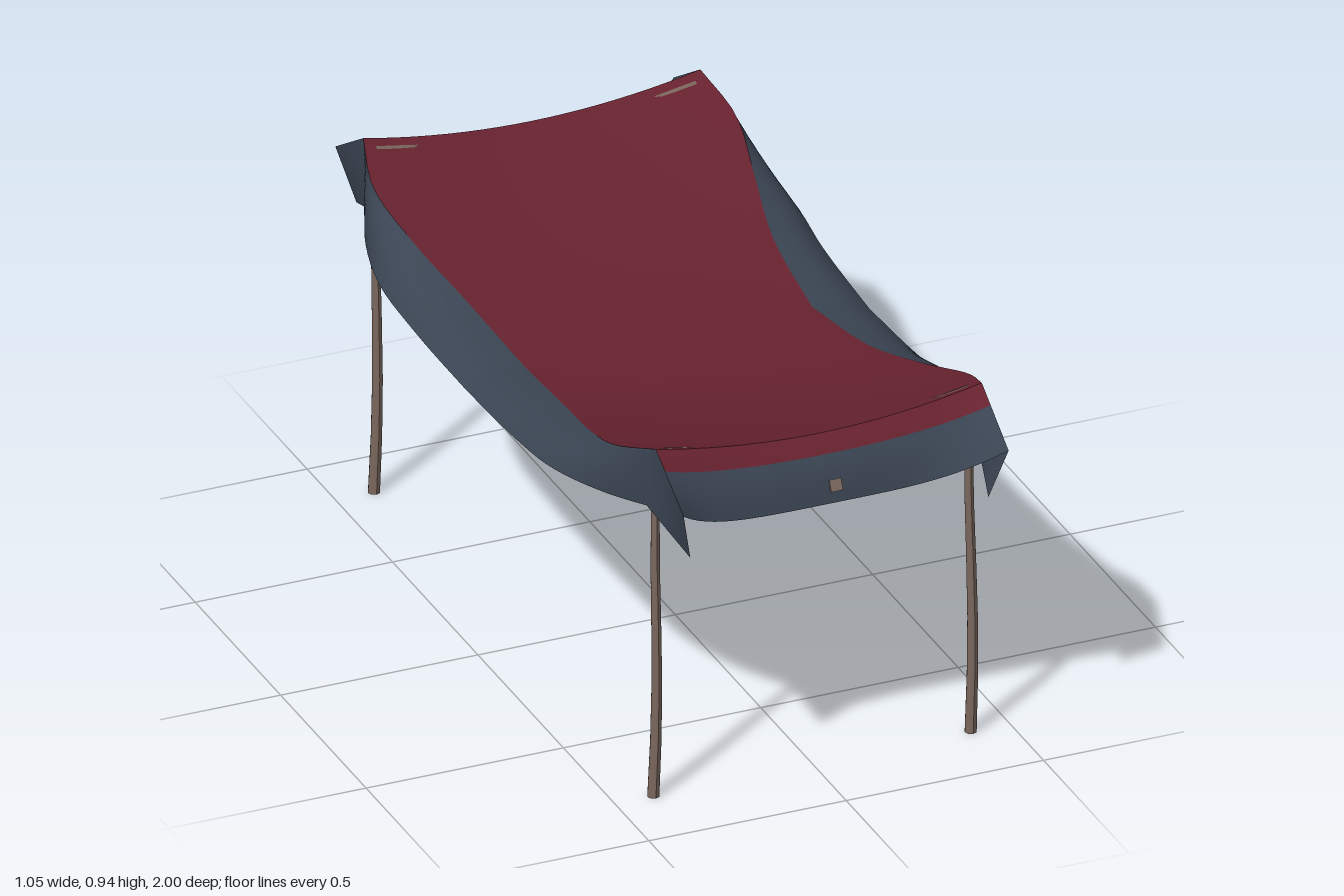
import * as THREE from 'three';

const END = 0.84; // z of the end ridges
const red = new THREE.MeshStandardMaterial({ color: 0x67222f, side: THREE.DoubleSide });
red.name = 'red cloth';
const blue = new THREE.MeshStandardMaterial({ color: 0x3a4452, side: THREE.DoubleSide });
blue.name = 'slate border';
const wood = new THREE.MeshStandardMaterial({ color: 0x7a675d });
wood.name = 'wood';

// Smooth curve through values given at these distances from the middle
const STATIONS = [0, 0.3, 0.5, 0.7, END];
const curve = (values) => {
  const c = new THREE.CubicInterpolant(STATIONS, values, 1, [0]);
  return (z) => c.evaluate(Math.min(Math.abs(z), END))[0];
};
const seamX = curve([0.365, 0.388, 0.425, 0.452, 0.42]);
const seamY = curve([0.737, 0.774, 0.822, 0.885, 0.935]);
const tipX = curve([0.51, 0.515, 0.518, 0.478, 0.425]);
const tipY = curve([0.702, 0.716, 0.74, 0.76, 0.77]);

// Slight skew of the whole canopy
const skew = (x, y, z) => {
  const t = Math.min(Math.abs(z) / END, 1);
  return new THREE.Vector3(x * (1 - 0.02 * z) - 0.018 * (1 - t * t), y, z);
};

// Height of the sagging cloth; u runs -1..1 across
const clothY = (u, z) => seamY(z) - 0.045 * Math.abs(z / END) * (1 - u * u);

// Grid surface from a rule f(a, b), both 0..1
function sheet(name, material, nu, nv, f) {
  const pos = [], index = [];
  for (let j = 0; j <= nv; j++)
    for (let i = 0; i <= nu; i++) pos.push(...f(i / nu, j / nv).toArray());
  for (let j = 0; j < nv; j++)
    for (let i = 0; i < nu; i++) {
      const a = j * (nu + 1) + i, b = a + nu + 1;
      index.push(a, b, a + 1, a + 1, b, b + 1);
    }
  const g = new THREE.BufferGeometry();
  g.setAttribute('position', new THREE.Float32BufferAttribute(pos, 3));
  g.setIndex(index);
  g.computeVertexNormals();
  const m = new THREE.Mesh(g, material);
  m.name = name;
  return m;
}

function pole(name, points, radius, segments) {
  const path = new THREE.CatmullRomCurve3(points);
  const m = new THREE.Mesh(new THREE.TubeGeometry(path, segments, radius, 8), wood);
  m.name = name;
  return m;
}

// End flap: u across -1..1, v from ridge down to hem, e = front (1) or back (-1)
function endPoint(u, v, e) {
  const k = u ** 4;
  const bulge = 0.012 * Math.sin(Math.PI * v) * (1 - u * u);
  const y = THREE.MathUtils.lerp(0.89 + 0.045 * u * u, 0.745 + 0.09 * k, v) + bulge;
  const z = THREE.MathUtils.lerp(END, 0.92 + 0.08 * k, v) + bulge;
  return skew(u * 0.42, y, e * z);
}

// Side flap: s from seam out to hem
function sidePoint(z, s, side) {
  const t4 = (z / END) ** 4;
  const bulge = 0.012 * Math.sin(Math.PI * s) * (1 - t4);
  const x = THREE.MathUtils.lerp(seamX(z), tipX(z), s) + bulge;
  const y = THREE.MathUtils.lerp(seamY(z), tipY(z), s) + bulge;
  return skew(side * x, y, z * (1 - 0.045 * t4 * s));
}

export function createModel() {
  const model = new THREE.Group();

  // Main cloth
  model.add(sheet('canopyCloth', red, 20, 40, (a, b) => {
    const u = a * 2 - 1, z = (b * 2 - 1) * END;
    return skew(u * seamX(z), clothY(u, z), z);
  }));

  for (const e of [1, -1]) {
    const end = e > 0 ? 'front' : 'back';
    // End flap: red band, then border
    model.add(sheet(end + 'RidgeBand', red, 32, 4, (a, b) => endPoint(a * 2 - 1, b * 0.33, e)));
    model.add(sheet(end + 'Flap', blue, 32, 8, (a, b) => endPoint(a * 2 - 1, 0.33 + b * 0.67, e)));

    // End rail under the ridge
    const rail = [-1, -0.5, 0, 0.5, 1].map((u) => skew(u * 0.4, clothY(u, 0.82) - 0.016, e * 0.815));
    model.add(pole(end + 'Rail', rail, 0.01, 16));

    // Small toggle at the middle of the flap
    const toggle = new THREE.Mesh(new THREE.BoxGeometry(0.03, 0.028, 0.008), wood);
    toggle.name = end + 'Toggle';
    toggle.position.set(0.012, 0.785, e * 0.911);
    toggle.rotation.x = -e * 0.45;
    model.add(toggle);
  }

  for (const side of [1, -1]) {
    const name = side > 0 ? 'left' : 'right';
    model.add(sheet(name + 'Flap', blue, 8, 40, (a, b) => sidePoint((b * 2 - 1) * END, a, side)));

    // Side rail following the sag
    const rail = [];
    for (let i = -4; i <= 4; i++) {
      const z = i / 4 * 0.81, x = 0.325 + 0.07 * Math.abs(i / 4) ** 1.5;
      rail.push(skew(side * x, clothY(x / seamX(z), z) - 0.02, z));
    }
    model.add(pole(name + 'Rail', rail, 0.01, 32));

    for (const e of [1, -1]) {
      const corner = name + (e > 0 ? 'Front' : 'Back');
      // Drooping corner fold between end flap and side flap
      const R = endPoint(side, 0, e), F = endPoint(side, 1, e);
      const S = sidePoint(e * END, 1, side), K = skew(side * 0.385, 0.7, e * 0.96);
      model.add(sheet(corner + 'CornerFold', blue, 6, 6, (v, s) => new THREE.Vector3()
        .addScaledVector(R, (1 - v) * (1 - s)).addScaledVector(F, v * (1 - s))
        .addScaledVector(S, (1 - v) * s).addScaledVector(K, v * s)));

      // Slightly crooked tapered post
      const z = e > 0 ? 0.8 : -0.835;
      const lean = side > 0 ? 0 : 0.012;
      const g = new THREE.CylinderGeometry(0.01, 0.015, 0.9, 8, 6);
      const p = g.attributes.position;
      for (let i = 0; i < p.count; i++) {
        const h = p.getY(i) / 0.9 + 0.5;
        p.setX(i, p.getX(i) + lean * h + 0.004 * Math.sin(h * 6));
        p.setZ(i, p.getZ(i) + 0.003 * Math.sin(h * 5));
      }
      g.computeVertexNormals();
      const post = new THREE.Mesh(g, wood);
      post.name = corner + 'Post';
      post.position.set(side * 0.402, 0.45, z);
      model.add(post);
    }
  }
  return model;
}
